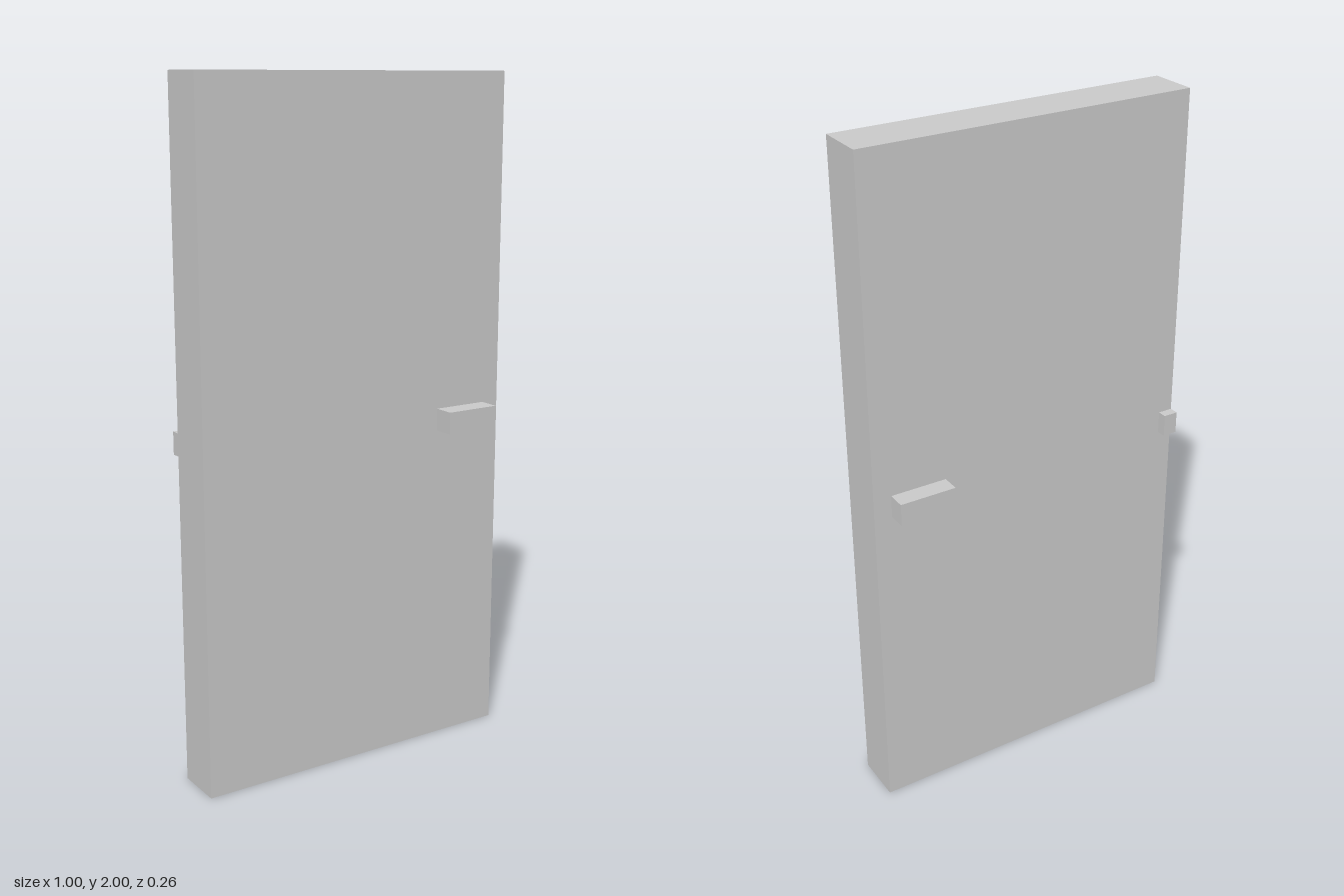
import * as THREE from 'three';

export function createModel() {
  const model = new THREE.Group();
  model.name = 'door';
  const grey = new THREE.MeshStandardMaterial({ color: 0xcccccc });
  grey.name = 'light grey';

  // Box given by its extents on each axis
  function block(name, [x0, x1], [y0, y1], [z0, z1]) {
    const mesh = new THREE.Mesh(new THREE.BoxGeometry(x1 - x0, y1 - y0, z1 - z0), grey);
    mesh.position.set((x0 + x1) / 2, (y0 + y1) / 2, (z0 + z1) / 2);
    mesh.name = name;
    model.add(mesh);
  }

  const front = 0.069, back = -0.077;
  const fittingY = [0.967, 1.033];
  const handleX = [0.277, 0.446];

  // Door slab
  block('doorPanel', [-0.5, 0.5], [0, 2], [back, front]);
  // Handles on both faces
  block('frontHandle', handleX, fittingY, [front, 0.132]);
  block('backHandle', handleX, fittingY, [back, -0.132]
    .sort((a, b) => a - b));
  // Small hinge block on the back edge
  block('hinge', [-0.5, -0.456], fittingY, [-0.105, back]);

  return model;
}
